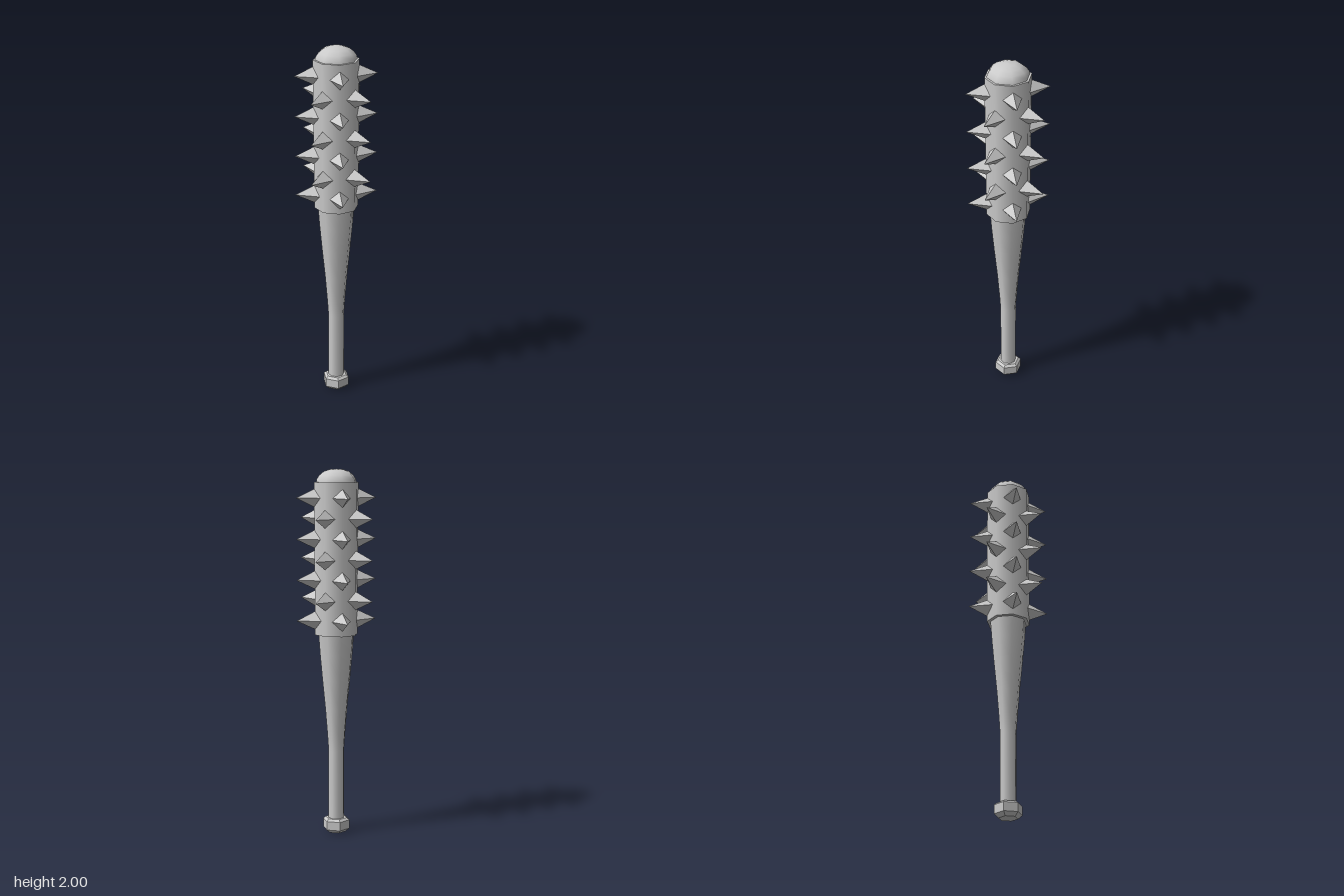
import * as THREE from 'three';

export function createModel() {
  const group = new THREE.Group();
  const smooth = new THREE.MeshStandardMaterial({ color: 0xcccccc });
  const flat = new THREE.MeshStandardMaterial({ color: 0xcccccc, flatShading: true });

  const add = (name, geometry, material, parent = group) => {
    const mesh = new THREE.Mesh(geometry, material);
    mesh.name = name;
    parent.add(mesh);
    return mesh;
  };
  const lathe = (points, sides) =>
    new THREE.LatheGeometry(points.map(([r, y]) => new THREE.Vector2(r, y)), sides);

  // Hexagonal end knob with bevelled rims
  add('knob', lathe([[0, 0], [0.052, 0], [0.075, 0.02], [0.075, 0.068], [0.06, 0.08], [0, 0.08]], 6), flat);

  // Slim grip flaring into the barrel
  add('shaft', lathe([
    [0.044, 0.07], [0.044, 0.46], [0.05, 0.55], [0.062, 0.7],
    [0.078, 0.86], [0.091, 1.0], [0.101, 1.13],
  ], 8), smooth);

  // Octagonal sleeve around the barrel
  const sleeve = add('sleeve', new THREE.CylinderGeometry(0.123, 0.119, 0.82, 8), smooth);
  sleeve.position.y = 1.52;

  // Rounded tip above the sleeve
  add('tip', lathe([
    [0.112, 1.925], [0.109, 1.945], [0.094, 1.967], [0.07, 1.986], [0.038, 1.997], [0, 2.0],
  ], 8), smooth);

  // Four-sided spikes in seven staggered rings
  const spikes = new THREE.Group();
  spikes.name = 'spikes';
  group.add(spikes);
  const base = 0.085, reach = 0.222, length = reach - base;
  const spike = new THREE.ConeGeometry(1, length, 4);
  spike.scale(0.41 * length, 1, 0.48 * length); // narrower across than tall
  spike.rotateX(Math.PI / 2);
  spike.translate(0, 0, base + length / 2);
  for (let row = 0; row < 7; row++) {
    for (let i = 0; i < 4; i++) {
      const mesh = add('spike', spike, flat, spikes);
      mesh.position.y = 1.19 + row * 0.1095;
      mesh.rotation.y = (i + (row % 2) / 2) * Math.PI / 2;
    }
  }
  return group;
}
